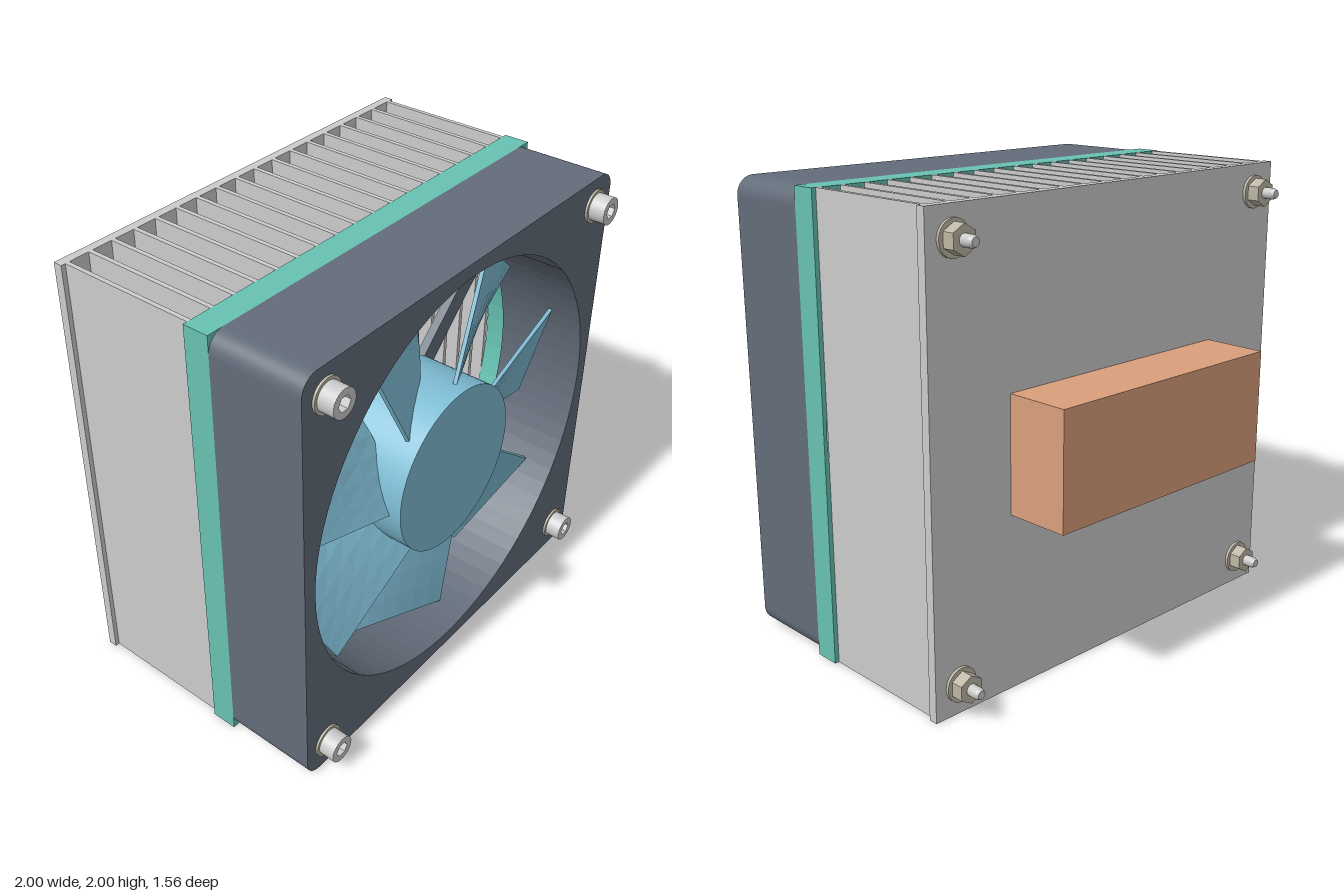
import * as THREE from 'three';

const mat = (color, flatShading = false) => new THREE.MeshStandardMaterial({ color, flatShading });
const GREY = mat(0xcccccc), DARK = mat(0x626c79), TEAL = mat(0x67c2b3);
const BLUE = mat(0x7fbcd4), BLADE = mat(0x7fbcd4, true), COPPER = mat(0xd99f7c), NUT = mat(0xbdb6a5, true);

function add(parent, name, geometry, material, x = 0, y = 0, z = 0) {
  const mesh = new THREE.Mesh(geometry, material);
  mesh.name = name;
  mesh.position.set(x, y, z);
  parent.add(mesh);
  return mesh;
}

// cylinder along z, from z0 to z1
function rod(r0, r1, z0, z1, sides = 32) {
  return new THREE.CylinderGeometry(r1, r0, z1 - z0, sides).rotateX(Math.PI / 2).translate(0, 0, (z0 + z1) / 2);
}

// 2 x 2 plate with rounded corners and a round opening
function framePlate(corner, hole, z0, z1) {
  const s = new THREE.Shape();
  if (corner > 0) {
    const c = 1 - corner;
    [[c, c], [-c, c], [-c, -c], [c, -c]].forEach(([x, y], i) =>
      s.absarc(x, y, corner, i * Math.PI / 2, (i + 1) * Math.PI / 2, false));
  } else {
    s.moveTo(-1, -1).lineTo(1, -1).lineTo(1, 1).lineTo(-1, 1);
  }
  s.holes.push(new THREE.Path().absarc(0, 0, hole, 0, Math.PI * 2, true));
  return new THREE.ExtrudeGeometry(s, { depth: z1 - z0, bevelEnabled: false, curveSegments: 40 }).translate(0, 0, z0);
}

// ruled, twisted blade: curved steep root to a straight shallow tip
function bladeGeometry() {
  const root = new THREE.QuadraticBezierCurve3(
    new THREE.Vector3(0.31, 0.195, 0.61), new THREE.Vector3(0.31, -0.06, 0.5), new THREE.Vector3(0.49, -0.21, 0.37));
  const tip = new THREE.LineCurve3(new THREE.Vector3(0.87, 0.32, 0.56), new THREE.Vector3(0.88, -0.18, 0.43));
  const n = 6, rows = 4, ring = 2 * (n + 1), pos = [], idx = [];
  for (let i = 0; i <= rows; i++) {
    for (let k = 0; k < ring; k++) {
      const front = k <= n, t = (front ? k : ring - 1 - k) / n;
      const p = root.getPoint(t).lerp(tip.getPoint(t), i / rows);
      const o = front ? 0.008 : -0.008;
      pos.push(p.x, p.y - o * 0.4, p.z + o);
    }
  }
  for (let i = 0; i < rows; i++) {
    for (let k = 0; k < ring; k++) {
      const a = i * ring + k, d = i * ring + (k + 1) % ring;
      idx.push(a, d, a + ring, d, d + ring, a + ring);
    }
  }
  const e = rows * ring;
  for (let j = 0; j < n; j++) {
    const b = ring - 1 - j;
    idx.push(e + j, e + j + 1, e + b - 1, e + j, e + b - 1, e + b);
    idx.push(j, b - 1, j + 1, j, b, b - 1);
  }
  const g = new THREE.BufferGeometry();
  g.setAttribute('position', new THREE.Float32BufferAttribute(pos, 3));
  g.setIndex(idx);
  g.computeVertexNormals();
  return g;
}

// socket head screw with washers and nut, axis along z
function makeScrew(x, y) {
  const g = new THREE.Group();
  g.name = 'screw';
  g.position.set(x, y, 0);
  const head = new THREE.Shape().absarc(0, 0, 0.06, 0, Math.PI * 2, false);
  const hex = new THREE.Path();
  for (let i = 0; i < 6; i++) {
    const a = -i * Math.PI / 3;
    hex[i ? 'lineTo' : 'moveTo'](0.033 * Math.cos(a), 0.033 * Math.sin(a));
  }
  hex.closePath();
  head.holes.push(hex);
  add(g, 'screwHead', new THREE.ExtrudeGeometry(head, { depth: 0.04, bevelEnabled: false, curveSegments: 16 }), GREY, 0, 0, 0.74);
  add(g, 'screwHeadBase', rod(0.06, 0.06, 0.71, 0.74), GREY);
  add(g, 'frontWasher', rod(0.073, 0.073, 0.697, 0.71), NUT);
  add(g, 'screwShaft', rod(0.025, 0.025, -0.605, 0.72, 24), GREY);
  add(g, 'screwTip', rod(0.018, 0.025, -0.62, -0.605, 24), GREY);
  add(g, 'rearWasher', rod(0.073, 0.073, -0.508, -0.495), NUT);
  add(g, 'nut', rod(0.06, 0.06, -0.562, -0.508, 6), NUT);
  return g;
}

export function createModel() {
  const model = new THREE.Group();
  model.name = 'fanCooledHeatsink';

  // fan housing and spacer plate
  add(model, 'fanFrame', framePlate(0.08, 0.94, 0.285, 0.7), DARK, 0, 1, 0);
  add(model, 'spacerPlate', framePlate(0, 0.985, 0.17, 0.285), TEAL, 0, 1, 0);

  // diagonal struts carrying the motor mount
  for (let i = 0; i < 4; i++) {
    const a = Math.PI / 4 + i * Math.PI / 2;
    const strut = add(model, 'motorStrut', new THREE.BoxGeometry(0.65, 0.09, 0.04), DARK,
      0.63 * Math.cos(a), 1 + 0.63 * Math.sin(a), 0.307);
    strut.rotation.z = a;
  }
  add(model, 'motorMount', rod(0.37, 0.37, 0.287, 0.33, 48), DARK, 0, 1, 0);

  // rotor
  const rotor = new THREE.Group();
  rotor.name = 'rotor';
  rotor.position.y = 1;
  model.add(rotor);
  add(rotor, 'hub', rod(0.38, 0.38, 0.34, 0.67, 64), BLUE);
  const blade = bladeGeometry();
  for (let i = 0; i < 7; i++) add(rotor, 'blade', blade, BLADE).rotation.z = i * Math.PI * 2 / 7;

  // heatsink plate and fins
  add(model, 'heatsinkBase', new THREE.BoxGeometry(2, 2, 0.04), GREY, 0, 1, -0.475);
  const fin = new THREE.BoxGeometry(0.02, 2, 0.625);
  for (let i = 0; i < 18; i++) add(model, 'fin', fin, GREY, -0.97 + i * 1.94 / 17, 1, -0.1425);

  // heat source block on the back
  add(model, 'heatBlock', new THREE.BoxGeometry(1.2, 0.495, 0.285), COPPER, 0, 1.003, -0.6375);

  for (const x of [-0.875, 0.875]) for (const y of [0.127, 1.877]) model.add(makeScrew(x, y));
  return model;
}
